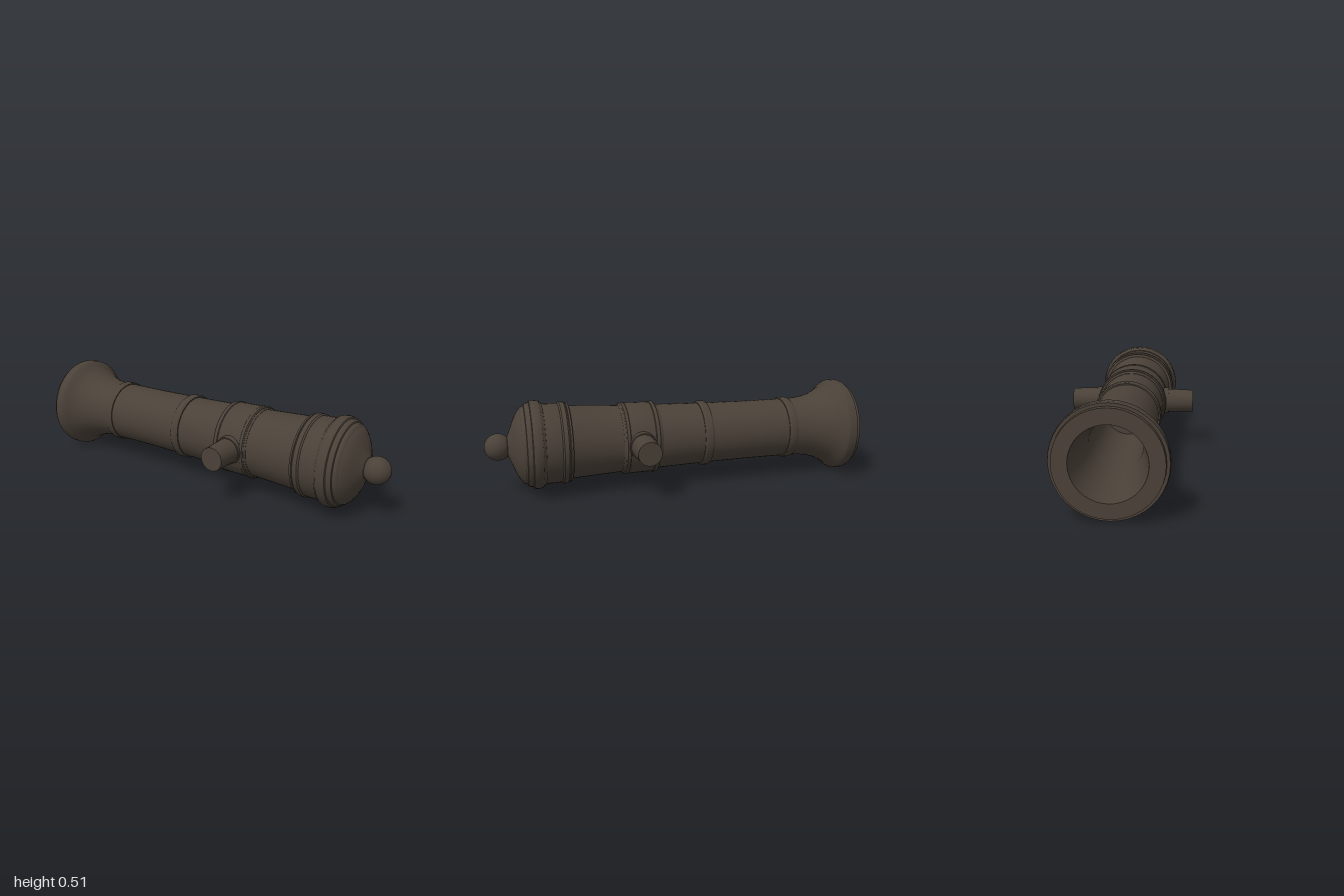
import * as THREE from 'three';
import { toCreasedNormals } from 'three/addons/utils/BufferGeometryUtils.js';

const AXIS_Y = 0.255; // height of the barrel's centre line

export function createModel() {
  const model = new THREE.Group();
  model.name = 'cannonBarrel';
  const iron = new THREE.MeshStandardMaterial({ color: 0x4a4138 });
  iron.name = 'darkIron';

  // Turned part lying along +x, from [x, radius] pairs
  function turned(name, profile, crease = 0.5) {
    const points = profile.map(([x, r]) => new THREE.Vector2(r, x));
    const geometry = toCreasedNormals(new THREE.LatheGeometry(points, 40), crease);
    geometry.rotateZ(-Math.PI / 2);
    const mesh = new THREE.Mesh(geometry, iron);
    mesh.name = name;
    mesh.position.y = AXIS_Y;
    model.add(mesh);
    return mesh;
  }

  // Raised band with rounded shoulders
  function ring(name, start, end, base, top) {
    const w = end - start;
    turned(name, [
      [start, base - 0.01], [start, base + (top - base) * 0.55],
      [start + w * 0.2, top], [end - w * 0.2, top],
      [end, base + (top - base) * 0.55], [end, base - 0.01],
    ]);
  }

  // Barrel: bore, muzzle lip, flare, chase and domed breech
  turned('barrel', [
    [-0.1, 0], [-0.1, 0.12], [-0.7, 0.125], [-1, 0.167],
    [-1, 0.236], [-0.978, 0.238], [-0.978, 0.252], [-0.965, 0.255],
    [-0.93, 0.254], [-0.912, 0.243], [-0.9, 0.226], [-0.86, 0.202],
    [-0.82, 0.184], [-0.77, 0.17], [-0.72, 0.163], [-0.66, 0.161],
    [-0.4, 0.161], [-0.15, 0.165], [0.1, 0.172], [0.3, 0.178],
    [0.57, 0.192], [0.61, 0.207], [0.7, 0.209], [0.79, 0.207],
    [0.805, 0.198], [0.82, 0.185], [0.835, 0.165], [0.85, 0.135],
    [0.863, 0.1], [0.873, 0.075], [0.883, 0.052], [0.9, 0.042], [0.93, 0.04],
  ]);

  // Reinforcing bands
  ring('muzzleRing', -0.665, -0.615, 0.161, 0.17);
  ring('middleRing', -0.178, -0.13, 0.164, 0.177);
  turned('trunnionBand', [
    [0.1, 0.165], [0.1, 0.174], [0.115, 0.182], [0.14, 0.188],
    [0.27, 0.19], [0.295, 0.187], [0.308, 0.18], [0.308, 0.17],
  ]);
  ring('trunnionFrontRing', 0.115, 0.145, 0.178, 0.191);
  ring('trunnionRearRing', 0.272, 0.298, 0.18, 0.193);
  ring('breechFrontRing', 0.568, 0.584, 0.192, 0.207);
  ring('breechMiddleRing', 0.584, 0.622, 0.2, 0.214);

  // Stepped moulding around the breech
  turned('breechMoulding', [
    [0.7, 0.2], [0.703, 0.214], [0.712, 0.219], [0.718, 0.226],
    [0.733, 0.23], [0.752, 0.23], [0.765, 0.225], [0.768, 0.218],
    [0.782, 0.217], [0.793, 0.21], [0.796, 0.202], [0.808, 0.199],
    [0.816, 0.191], [0.819, 0.18],
  ]);

  // Round knob behind the breech
  const knob = new THREE.Mesh(new THREE.SphereGeometry(0.069, 32, 20), iron);
  knob.name = 'breechKnob';
  knob.position.set(0.931, AXIS_Y, 0);
  model.add(knob);

  // Tapered side pins, each with a collar at its root
  for (const side of [1, -1]) {
    const trunnion = new THREE.Group();
    trunnion.name = side > 0 ? 'frontTrunnion' : 'backTrunnion';
    trunnion.position.set(0.213, AXIS_Y, 0);
    trunnion.rotation.x = side * Math.PI / 2;
    const pin = new THREE.Mesh(new THREE.CylinderGeometry(0.061, 0.068, 0.2, 32), iron);
    pin.name = 'pin';
    pin.position.y = 0.24;
    const collar = new THREE.Mesh(new THREE.CylinderGeometry(0.071, 0.077, 0.06, 32), iron);
    collar.name = 'collar';
    collar.position.y = 0.174;
    trunnion.add(pin, collar);
    model.add(trunnion);
  }
  return model;
}
